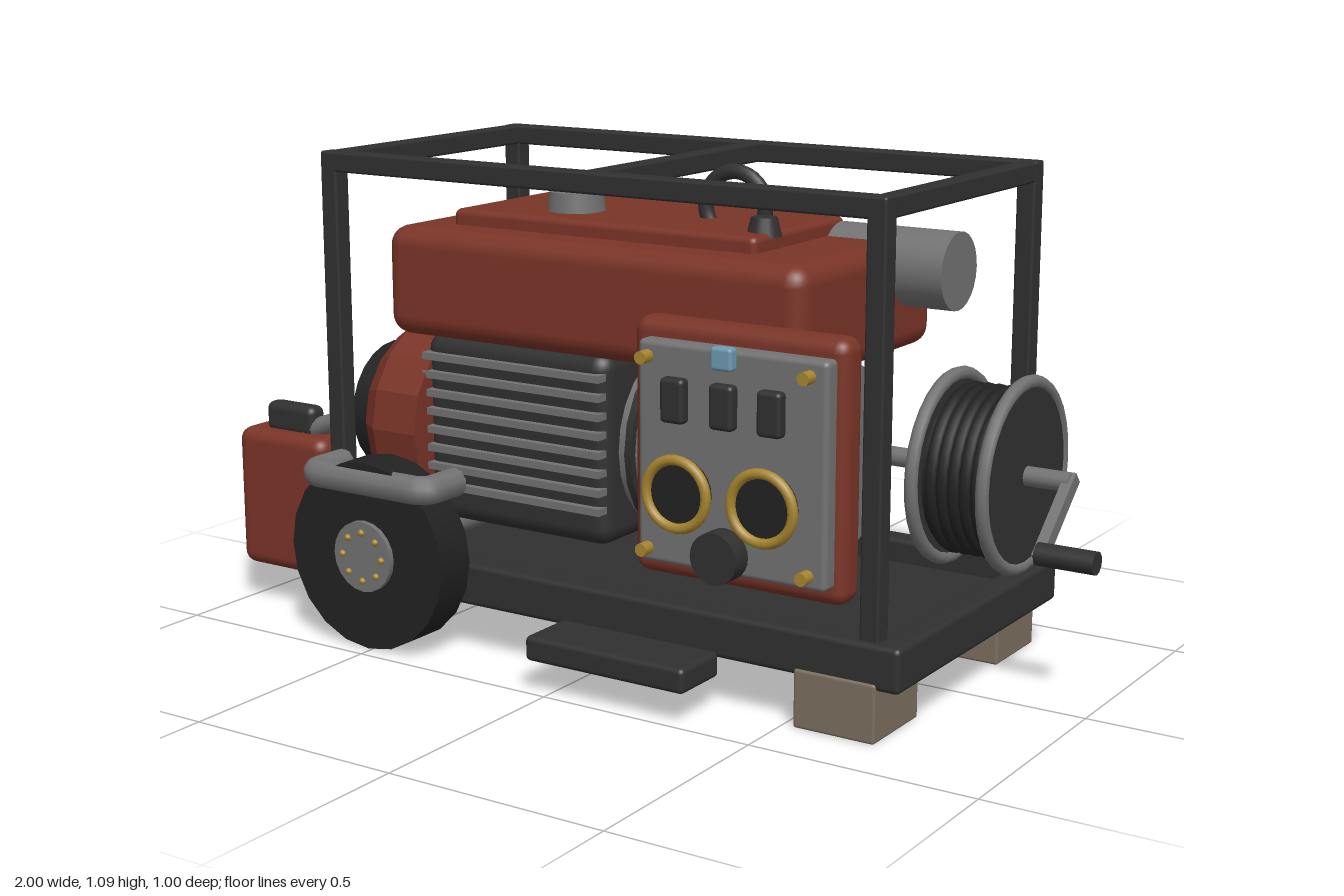
import * as THREE from 'three';
import { RoundedBoxGeometry } from 'three/addons/geometries/RoundedBoxGeometry.js';

const mat = (color) => new THREE.MeshStandardMaterial({ color });

export function createModel() {
  const model = new THREE.Group();
  const red = mat(0x7a3427), dark = mat(0x303030), grey = mat(0x727272), black = mat(0x222222);
  const gold = mat(0xa8862f), tan = mat(0x7a6e5e), blue = mat(0x6a9ab0);

  const add = (name, geo, material, x = 0, y = 0, z = 0) => {
    const m = new THREE.Mesh(geo, material);
    m.name = name;
    m.position.set(x, y, z);
    model.add(m);
    return m;
  };
  // box given by its limits on each axis, with an optional edge radius
  const box = (name, material, [x0, x1], [y0, y1], [z0, z1], r = 0) => {
    const s = [x1 - x0, y1 - y0, z1 - z0];
    const geo = r ? new RoundedBoxGeometry(...s, 3, r) : new THREE.BoxGeometry(...s);
    return add(name, geo, material, (x0 + x1) / 2, (y0 + y1) / 2, (z0 + z1) / 2);
  };
  // cylinder lying along x or z
  const cylX = (name, material, r, x0, x1, y, z, n = 24) =>
    add(name, new THREE.CylinderGeometry(r, r, x1 - x0, n).rotateZ(-Math.PI / 2), material, (x0 + x1) / 2, y, z);
  const cylZ = (name, material, r, x, y, z0, z1, n = 24) =>
    add(name, new THREE.CylinderGeometry(r, r, z1 - z0, n).rotateX(Math.PI / 2), material, x, y, (z0 + z1) / 2);
  const ringX = (name, material, R, r, x, y, z) =>
    add(name, new THREE.TorusGeometry(R, r, 8, 32).rotateY(Math.PI / 2), material, x, y, z);

  // base tray
  box('baseFloor', dark, [-0.74, 0.74], [0.11, 0.15], [-0.37, 0.35]);
  for (const [z0, z1] of [[-0.385, -0.325], [0.305, 0.365]])
    box('baseSideRail', dark, [-0.76, 0.76], [0.11, 0.205], [z0, z1], 0.012);
  for (const s of [-1, 1])
    box('baseEndRail', dark, [s * 0.73 - 0.03, s * 0.73 + 0.03], [0.11, 0.205], [-0.385, 0.365], 0.012);

  // tubular cage
  for (const z of [-0.343, 0.328]) {
    for (const x of [-0.684, 0.683])
      box('cagePost', dark, [x - 0.022, x + 0.022], [0.19, 1.08], [z - 0.022, z + 0.022], 0.006);
    box('cageTopRail', dark, [-0.706, 0.705], [1.04, 1.085], [z - 0.022, z + 0.022], 0.006);
  }
  for (const x of [-0.684, 0, 0.683])
    box('cageCrossRail', dark, [x - 0.021, x + 0.021], [1.04, 1.084], [-0.36, 0.345], 0.006);

  // feet and step
  for (const [z0, z1] of [[-0.38, -0.195], [0.18, 0.37]])
    box('foot', tan, [0.525, 0.71], [0, 0.125], [z0, z1], 0.006);
  box('step', dark, [-0.05, 0.345], [0.07, 0.125], [0.36, 0.5], 0.012);

  // axle, wheels and guard handles
  cylZ('axle', grey, 0.03, -0.51, 0.22, -0.4, 0.38);
  for (const [s, z0, z1] of [[1, 0.365, 0.463], [-1, 0.385, 0.48]]) {
    cylZ('wheel', black, 0.213, -0.51, 0.213, Math.min(s * z0, s * z1), Math.max(s * z0, s * z1), 20);
    cylZ('hub', grey, 0.08, -0.51, 0.215, s * (z1 + 0.002) - 0.01, s * (z1 + 0.002) + 0.01, 20);
    for (let i = 0; i < 8; i++) {
      const a = i * Math.PI / 4;
      add('wheelBolt', new THREE.SphereGeometry(0.008, 8, 6), gold,
        -0.51 + 0.055 * Math.cos(a), 0.215 + 0.055 * Math.sin(a), s * (z1 + 0.013));
    }
    const o = s * (z1 - 0.015), i = s * (z0 - 0.02);
    const path = new THREE.CurvePath();
    const v = (x, z) => new THREE.Vector3(x, 0.38, z);
    path.add(new THREE.LineCurve3(v(-0.67, i), v(-0.67, o - s * 0.03)));
    path.add(new THREE.QuadraticBezierCurve3(v(-0.67, o - s * 0.03), v(-0.67, o), v(-0.64, o)));
    path.add(new THREE.LineCurve3(v(-0.64, o), v(-0.38, o)));
    path.add(new THREE.QuadraticBezierCurve3(v(-0.38, o), v(-0.35, o), v(-0.35, o - s * 0.03)));
    path.add(new THREE.LineCurve3(v(-0.35, o - s * 0.03), v(-0.35, i)));
    add('wheelGuard', new THREE.TubeGeometry(path, 48, 0.033, 10), grey);
  }

  // fuel tank with lid, caps and lifting ring
  box('tank', red, [-0.59, 0.485], [0.675, 0.92], [-0.3, 0.28], 0.045);
  box('tankLid', red, [-0.47, 0.315], [0.9, 0.955], [-0.2, 0.18], 0.015);
  add('fuelCap', new THREE.CylinderGeometry(0.06, 0.066, 0.06, 20), grey, -0.225, 0.968, 0.05);
  add('ventCap', new THREE.CylinderGeometry(0.028, 0.038, 0.04, 16), dark, 0.285, 0.965, 0.095);
  add('liftingRing', new THREE.TorusGeometry(0.075, 0.017, 10, 32), dark, 0.15, 0.985, -0.01);
  cylX('muffler', grey, 0.085, 0.285, 0.6, 0.86, -0.182);

  // finned engine block
  box('engineBlock', dark, [-0.52, -0.02], [0.25, 0.68], [-0.25, 0.235], 0.04);
  for (let i = 0; i < 8; i++)
    for (const z of [-0.25, 0.235])
      box('engineFin', grey, [-0.51, -0.03], [0.327 + i * 0.042, 0.343 + i * 0.042], [z - 0.017, z + 0.017]);

  // engine cowl and fan grille
  const cowl = [[0, 0], [0.16, 0], [0.195, 0.03], [0.23, 0.08], [0.23, 0.2], [0, 0.2]]
    .map(([r, h]) => new THREE.Vector2(r, h));
  const cowlMat = red.clone();
  cowlMat.flatShading = true;
  add('cowl', new THREE.LatheGeometry(cowl, 16).rotateZ(-Math.PI / 2), cowlMat, -0.7, 0.455, 0.07);
  cylX('fanGrille', black, 0.153, -0.745, -0.69, 0.455, 0.07);
  for (let i = 0; i < 6; i++) {
    const bar = add('grilleBar', new THREE.BoxGeometry(0.008, 0.24, 0.008), grey, -0.746, 0.455, 0.07);
    bar.rotation.x = i * Math.PI / 6;
  }

  // ribbed alternator
  cylX('alternator', grey, 0.2, -0.03, 0.43, 0.46, -0.01);
  for (let i = 0; i < 10; i++)
    cylX('alternatorRib', i % 2 ? grey : dark, 0.216, 0.005 + i * 0.043, 0.023 + i * 0.043, 0.46, -0.01, 20);

  // control panel
  box('panelHousing', red, [0.135, 0.635], [0.265, 0.805], [0.288, 0.367], 0.03);
  box('panelPlate', grey, [0.175, 0.615], [0.305, 0.768], [0.36, 0.405], 0.012);
  for (const x of [0.285, 0.485]) {
    cylZ('socket', black, 0.068, x, 0.465, 0.4, 0.43);
    add('socketRing', new THREE.TorusGeometry(0.071, 0.011, 8, 32), gold, x, 0.465, 0.432);
  }
  for (const x of [0.27, 0.385, 0.495])
    box('switch', dark, [x - 0.028, x + 0.028], [0.607, 0.7], [0.4, 0.43], 0.01);
  cylZ('knob', dark, 0.054, 0.385, 0.35, 0.4, 0.452);
  box('indicatorLight', blue, [0.36, 0.41], [0.727, 0.775], [0.4, 0.428], 0.008);
  for (const x of [0.2, 0.575])
    for (const y of [0.335, 0.735]) cylZ('panelBolt', gold, 0.014, x, y, 0.4, 0.434, 10);

  // cable reel with crank
  const ry = 0.443, rz = -0.165;
  cylX('reelDrum', black, 0.17, 0.6, 0.77, ry, rz);
  for (let i = 0; i < 5; i++) ringX('cableTurn', black, 0.172, 0.014, 0.64 + i * 0.026, ry, rz);
  for (const x of [0.608, 0.77]) {
    cylX('reelFlange', dark, 0.2, x - 0.009, x + 0.009, ry, rz, 32);
    ringX('reelRim', grey, 0.2, 0.015, x, ry, rz);
  }
  cylX('reelAxle', grey, 0.022, 0.42, 0.88, ry, rz, 12);
  const hy = 0.322, hz = -0.027;
  const arm = add('crankArm', new THREE.BoxGeometry(0.024, Math.hypot(hy - ry, hz - rz) + 0.03, 0.032),
    grey, 0.877, (ry + hy) / 2, (rz + hz) / 2);
  arm.rotation.x = Math.atan2(rz - hz, ry - hy);
  cylX('crankHandle', dark, 0.025, 0.87, 1, hy, hz, 12);

  // fuel can hung on the end
  box('fuelCan', red, [-1, -0.735], [0.09, 0.42], [0.22, 0.345], 0.03);
  box('fuelCanHandle', dark, [-0.94, -0.795], [0.41, 0.482], [0.258, 0.308], 0.018);
  const spout = add('fuelCanSpout', new THREE.CylinderGeometry(0.02, 0.024, 0.1, 12), grey, -0.78, 0.44, 0.283);
  spout.rotation.z = -1.2;

  return model;
}
